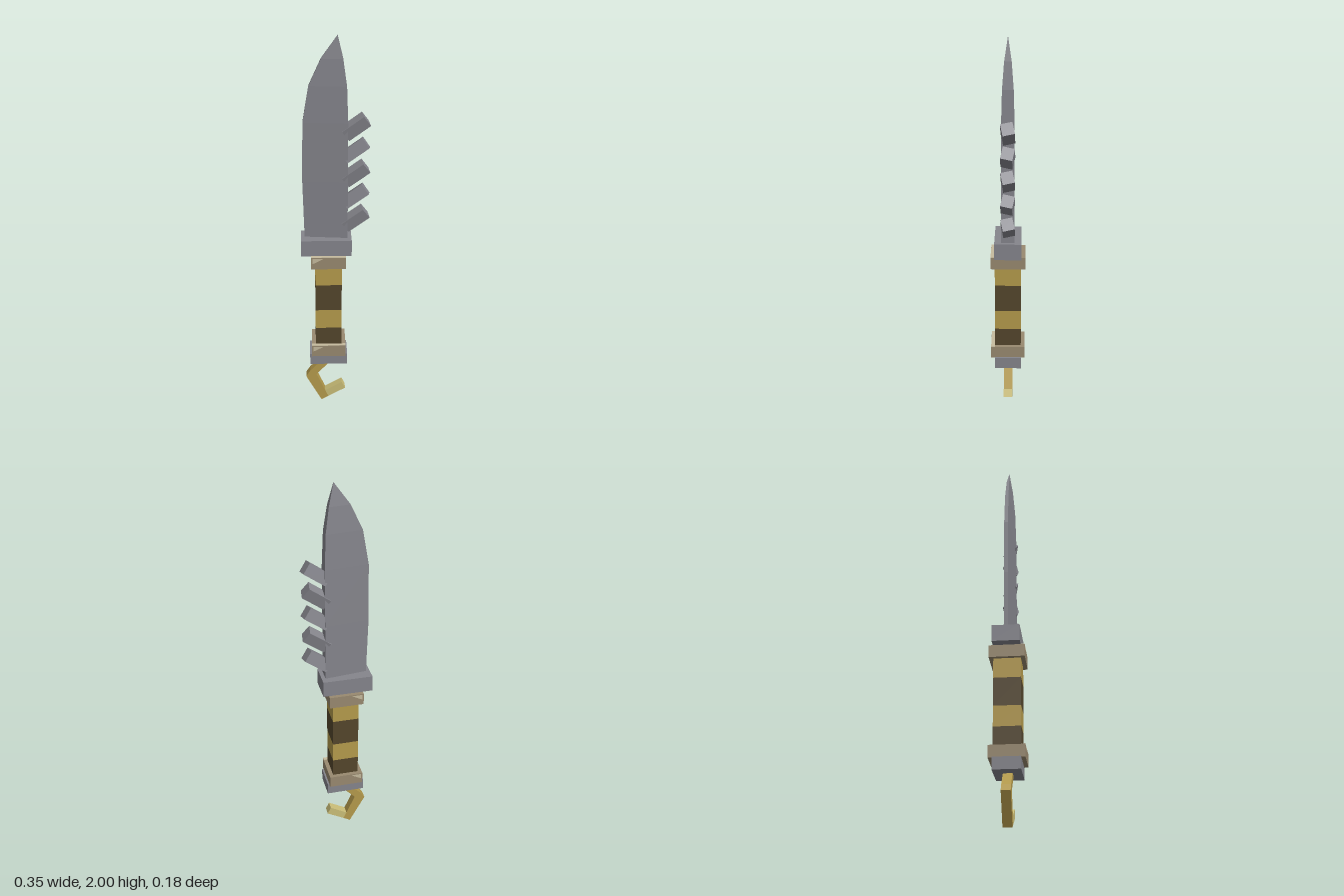
import * as THREE from 'three';

const mat = (name, color, side = THREE.FrontSide) => {
  const m = new THREE.MeshStandardMaterial({ color, side });
  m.name = name;
  return m;
};

export function createModel() {
  const steel = mat('steel', 0x85858c);
  const gold = mat('gold', 0xb59b4c);
  const paleGold = mat('pale gold', 0xcbbe78);
  const brown = mat('dark brown', 0x54462c);
  const tan = mat('tan', 0x998a70);
  const cream = mat('cream', 0xc6bb9e, THREE.DoubleSide);

  const model = new THREE.Group();
  model.name = 'knife';
  const add = (name, geometry, material) => {
    const mesh = new THREE.Mesh(geometry, material);
    mesh.name = name;
    model.add(mesh);
    return mesh;
  };
  // Box from its x and y ranges and half depth
  const block = (name, x0, x1, y0, y1, d, material) => {
    const mesh = add(name, new THREE.BoxGeometry(x1 - x0, y1 - y0, 2 * d), material);
    mesh.position.set((x0 + x1) / 2, (y0 + y1) / 2, 0);
    return mesh;
  };
  const polygon = (pts) => new THREE.Shape(pts.map(([x, y]) => new THREE.Vector2(x, y)));

  // Blade: sections of y, edge x, spine x, edge half depth, spine half depth
  const rows = [
    [0.95, -0.157, 0.06, 0.01, 0.034],
    [1.28, -0.166, 0.06, 0.01, 0.034],
    [1.58, -0.161, 0.06, 0.01, 0.033],
    [1.76, -0.13, 0.054, 0.009, 0.028],
    [1.89, -0.07, 0.036, 0.007, 0.018],
    [2.0, 0.009, 0.01, 0.0005, 0.001],
  ];
  const corners = rows.map(([y, a, b, da, db]) => [[a, y, da], [b, y, db], [b, y, -db], [a, y, -da]]);
  const pos = [];
  const quad = (a, b, c, d) => pos.push(...a, ...b, ...c, ...a, ...c, ...d);
  for (let i = 0; i < rows.length - 1; i++) {
    for (let j = 0; j < 4; j++) {
      const k = (j + 1) % 4;
      quad(corners[i][j], corners[i][k], corners[i + 1][k], corners[i + 1][j]);
    }
  }
  quad(...corners[rows.length - 1]);
  const blade = new THREE.BufferGeometry();
  blade.setAttribute('position', new THREE.Float32BufferAttribute(pos, 3));
  blade.computeVertexNormals();
  add('blade', blade, steel);

  // Spine teeth, twisted alternately about their own length
  for (let i = 0; i < 5; i++) {
    const tooth = add('spineTooth', new THREE.BoxGeometry(0.13, 0.062, 0.06), steel);
    tooth.position.set(0.097, 1.557 - i * 0.12, 0);
    tooth.rotation.set(i % 2 ? -0.22 : 0.22, 0, 0.62, 'ZYX');
  }

  // Guard and pommel
  block('guard', -0.177, 0.08, 0.895, 0.98, 0.069, steel);
  block('pommel', -0.137, 0.06, 0.26, 0.322, 0.069, steel);

  // Striped grip
  [0.35, 0.48, 0.585, 0.73, 0.86].forEach((y, i, ys) => {
    if (i) block('gripBand', -0.106, 0.03, ys[i - 1], y, 0.068, i % 2 ? brown : gold);
  });

  // Grip collars with a worn corner on the broad faces and a pale top rim
  for (const y of [0.32, 0.832]) {
    block('collar', -0.127, 0.051, y, y + 0.063, 0.089, tan);
    const rim = block('collarRim', -0.127, 0.051, y + 0.063, y + 0.065, 0.01, cream);
    rim.position.z = 0.079;
    const worn = new THREE.ShapeGeometry(
      polygon([[-0.12, 0.03], [-0.105, 0.036], [-0.065, 0.058], [-0.12, 0.058]]));
    for (const s of [-1, 1]) {
      const patch = add('wornCorner', worn, cream);
      patch.position.set(0, y, s * 0.0905);
    }
  }

  // Hook below the pommel, with a pale tip
  const hookPart = (name, pts, material) => {
    const g = new THREE.ExtrudeGeometry(polygon(pts), { depth: 0.046, bevelEnabled: false });
    add(name, g.translate(0, 0, -0.023), material);
  };
  hookPart('hook', [
    [-0.003, 0.275], [-0.055, 0.275], [-0.137, 0.19], [-0.16, 0.155],
    [-0.077, 0.003], [-0.04, 0.025], [-0.057, 0.062], [-0.104, 0.167],
  ], gold);
  hookPart('hookTip', [[-0.057, 0.062], [-0.04, 0.025], [0.051, 0.076], [0.033, 0.114]], paleGold);

  return model;
}
